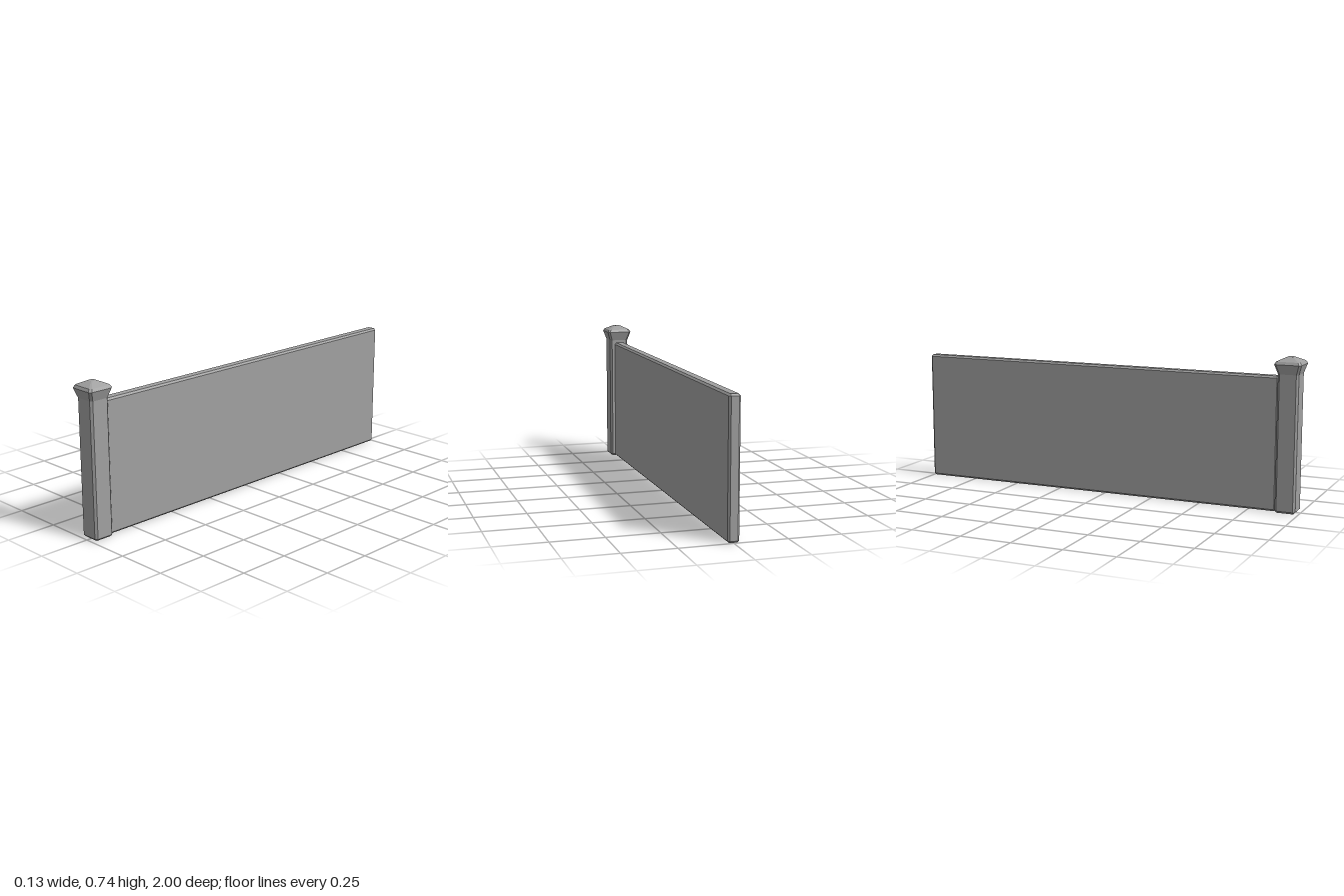
import * as THREE from 'three';

// Stacks chamfered rectangles [y, halfX, halfZ, cornerCut] into a closed solid
function loft(rings) {
  const pos = [];
  const sections = rings.map(([y, hx, hz, c]) => [
    [hx, hz - c], [hx, c - hz], [hx - c, -hz], [c - hx, -hz],
    [-hx, c - hz], [-hx, hz - c], [c - hx, hz], [hx - c, hz],
  ].map(([x, z]) => [x, y, z]));
  const tri = (a, b, c) => pos.push(...a, ...b, ...c);
  for (let i = 0; i < sections.length - 1; i++) {
    const lo = sections[i], hi = sections[i + 1];
    for (let j = 0; j < 8; j++) {
      const k = (j + 1) % 8;
      tri(lo[j], lo[k], hi[k]);
      tri(lo[j], hi[k], hi[j]);
    }
  }
  const bottom = sections[0], top = sections[sections.length - 1];
  for (let j = 1; j < 7; j++) {
    tri(top[0], top[j], top[j + 1]);
    tri(bottom[0], bottom[j + 1], bottom[j]);
  }
  const geo = new THREE.BufferGeometry();
  geo.setAttribute('position', new THREE.Float32BufferAttribute(pos, 3));
  geo.computeVertexNormals();
  return geo;
}

export function createModel() {
  const group = new THREE.Group();
  group.name = 'fencePanelWithPost';
  const stone = new THREE.MeshStandardMaterial({ color: 0xa0a0a0, flatShading: true });
  stone.name = 'greyStone';

  const add = (name, rings, z) => {
    const mesh = new THREE.Mesh(loft(rings), stone);
    mesh.name = name;
    mesh.position.z = z;
    group.add(mesh);
  };

  // Post shaft with its flared neck
  const square = (y, h, c) => [y, h, h, c];
  add('postShaft', [
    square(0, 0.04, 0.001), square(0.01, 0.05, 0.01),
    square(0.658, 0.05, 0.01), square(0.704, 0.065, 0.01),
  ], 0.935);

  // Low pyramid cap
  add('postCap', [
    square(0.704, 0.065, 0.01), square(0.717, 0.057, 0.009), square(0.737, 0.015, 0.004),
  ], 0.935);

  // Long wall panel with bevelled edges
  const hx = 0.027, hz = 0.943, b = 0.009;
  add('wallPanel', [
    [0, hx - b, hz - b, 0.001], [b, hx, hz, b],
    [0.645 - b, hx, hz, b], [0.645, hx - b, hz - b, 0.001],
  ], -0.057);

  return group;
}
